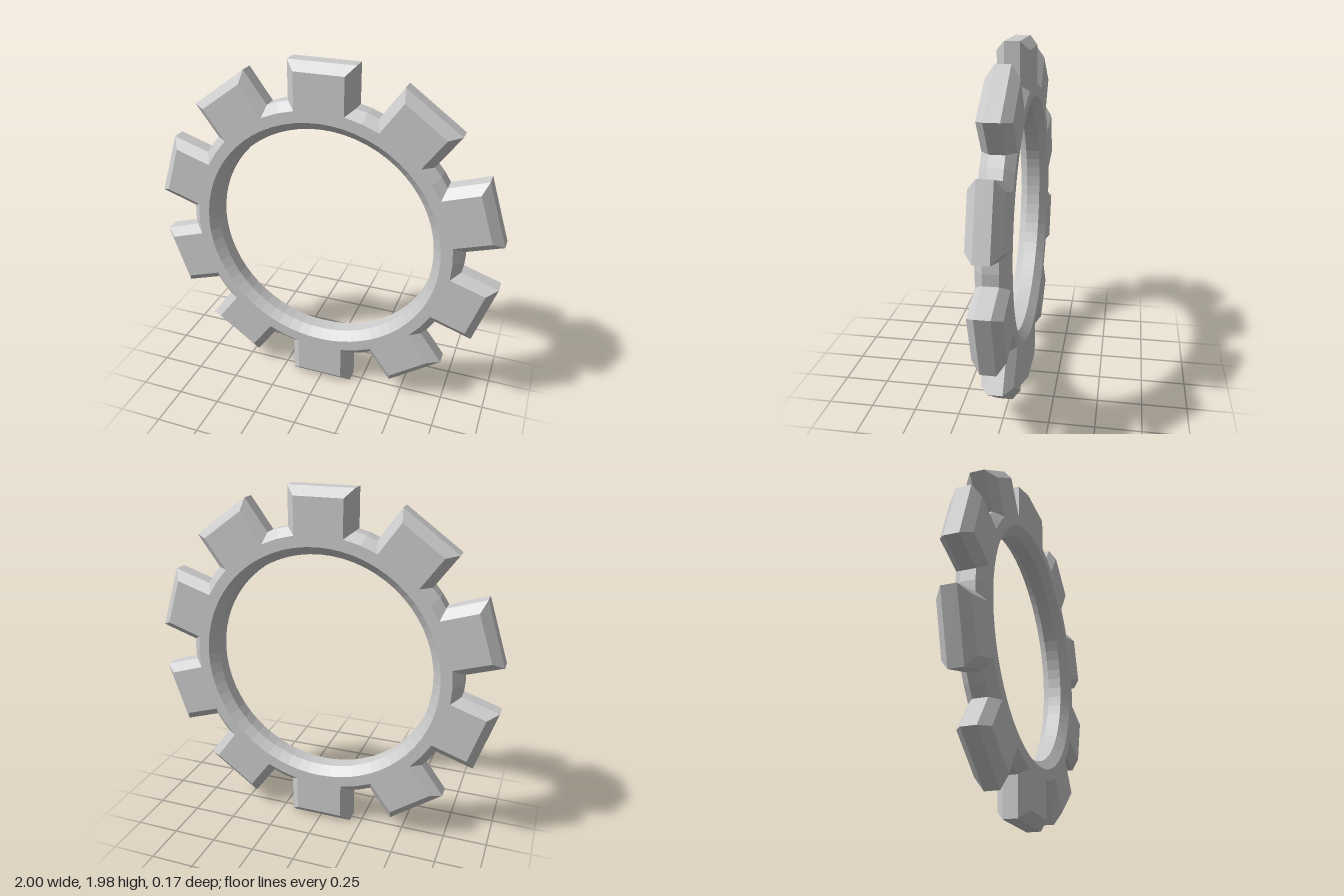
import * as THREE from 'three';

const TEETH = 10;
const BEVEL = 0.048;      // chamfer width on every edge
const HALF_WIDTH = 0.137; // tooth half width on the flat face
const TIP = 0.944;        // tooth tip distance on the flat face
const ROOT = 0.75;        // valley radius on the flat face
const BORE = 0.686;       // hole radius on the flat face

const polar = (r, a) => new THREE.Vector2(r * Math.cos(a), r * Math.sin(a));

// Outline of the flat face, counter-clockwise, starting with the top tooth
function gearOutline() {
  const points = [];
  const step = (Math.PI * 2) / TEETH;
  const rootAngle = Math.asin(HALF_WIDTH / ROOT);
  const tipAngle = Math.atan2(HALF_WIDTH, TIP);
  const tipRadius = Math.hypot(HALF_WIDTH, TIP);
  for (let i = 0; i < TEETH; i++) {
    const a = Math.PI / 2 + i * step;
    points.push(
      polar(ROOT, a - rootAngle),
      polar(tipRadius, a - tipAngle),
      polar(tipRadius, a + tipAngle),
      polar(ROOT, a + rootAngle),
      polar(ROOT, a + step / 2) // middle of the valley
    );
  }
  return points;
}

export function createModel() {
  const group = new THREE.Group();
  group.name = 'gear';

  // Toothed ring with a round bore, chamfered on both faces
  const shape = new THREE.Shape(gearOutline());
  const bore = [];
  for (let i = 0; i < 64; i++) bore.push(polar(BORE, (-i / 64) * Math.PI * 2));
  shape.holes.push(new THREE.Path(bore));

  const geometry = new THREE.ExtrudeGeometry(shape, {
    depth: 0.08,
    bevelEnabled: true,
    bevelThickness: 0.046,
    bevelSize: BEVEL,
    bevelSegments: 1,
  });
  geometry.translate(0, TIP + BEVEL, -0.04);

  const ring = new THREE.Mesh(
    geometry,
    new THREE.MeshStandardMaterial({ color: 0xcccccc, flatShading: true })
  );
  ring.name = 'toothedRing';
  group.add(ring);
  return group;
}
